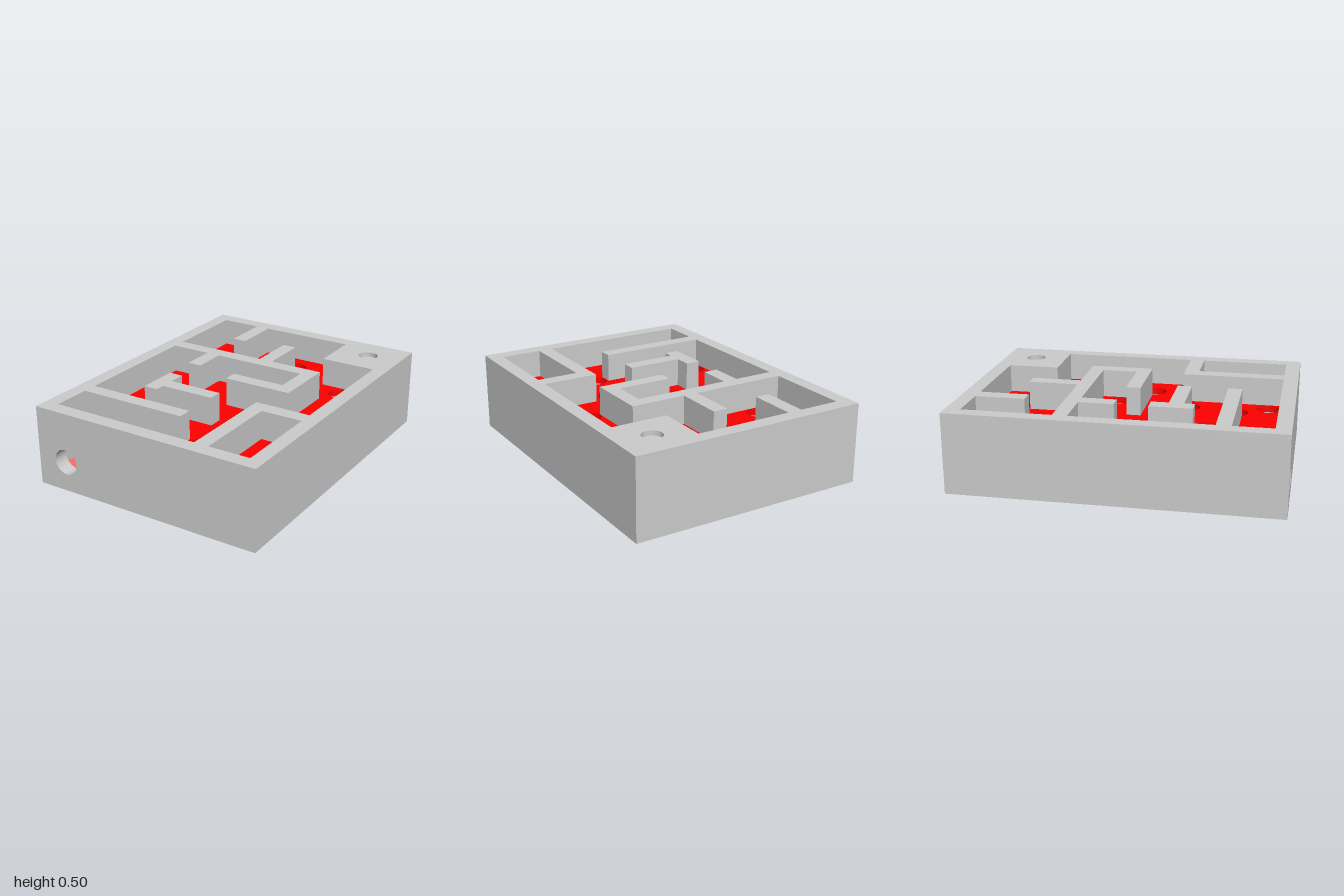
import * as THREE from 'three';
import { toCreasedNormals } from 'three/addons/utils/BufferGeometryUtils.js';

const grey = new THREE.MeshStandardMaterial({ color: 0xcccccc });
const red = new THREE.MeshStandardMaterial({ color: 0xff0000 });
const pink = new THREE.MeshStandardMaterial({ color: 0xff6b6b });

// Plan outlines are given as [x, z]; the shape's y axis is -z
const plan = (pts, Type = THREE.Shape) => new Type(pts.map(([x, z]) => new THREE.Vector2(x, -z)));
// Counter-clockwise in the shape's plane, so that holes in it face inwards
const rect = (x0, z0, x1, z1) => [[x0, z1], [x1, z1], [x1, z0], [x0, z0]];
const circle = (x, y, r) => new THREE.Path().absarc(x, y, r, 0, Math.PI * 2, true);

function extrude(shape, depth) {
  const geo = new THREE.ExtrudeGeometry(shape, { depth, bevelEnabled: false, curveSegments: 40 });
  return toCreasedNormals(geo, 0.5);
}

// Upright prism of a plan shape between two heights
function slab(name, shape, y0, y1, material) {
  const geo = extrude(shape, y1 - y0).rotateX(-Math.PI / 2).translate(0, y0, 0);
  const mesh = new THREE.Mesh(geo, material);
  mesh.name = name;
  return mesh;
}

const W = 0.75, L = 1, IW = 0.66, IL = 0.908;    // outer and inner half sizes
const FLOOR = 0.32, TOP = 0.5, RECESS = 0.03;

// Outline of the winding corridor
const corridor = [
  [-IW, -IL], [-0.4, -IL], [-0.4, -0.6], [-0.307, -0.6], [-0.307, -IL], [0.305, -IL],
  [0.305, -0.583], [IW, -0.583], [IW, 0.262], [0.305, 0.262], [0.305, IL], [-IW, IL],
  [-IW, 0.668], [0.045, 0.668], [0.045, 0.578], [-IW, 0.578], [-IW, -0.27], [-0.4, -0.27],
  [-0.4, -0.053], [-0.307, -0.053], [-0.307, -0.27], [0.305, -0.27], [0.305, -0.048], [-0.047, -0.048],
  [-0.047, 0.043], [0.397, 0.043], [0.397, -0.36], [0.045, -0.36], [0.045, -0.673], [-0.047, -0.673],
  [-0.047, -0.36], [-IW, -0.36],
];

// Free-standing T-shaped wall
const island = [
  [-0.4, 0.153], [-0.307, 0.153], [-0.307, 0.262], [0.045, 0.262],
  [0.045, 0.353], [-0.307, 0.353], [-0.307, 0.417], [-0.4, 0.417],
];

// Centres of the trap holes
const traps = [
  [-0.457, -0.438], [-0.227, -0.597], [0, -0.753], [0.125, -0.438], [0.477, -0.497],
  [0.577, -0.22], [0.225, -0.16], [0.477, 0.045], [-0.578, 0.068], [-0.177, 0.145],
  [0.18, 0.31], [-0.578, 0.497], [-0.18, 0.497], [0.125, 0.622], [0.225, 0.825],
];

function mazeShape() {
  const shape = plan(rect(-W, -L, W, L));
  shape.holes.push(plan(corridor, THREE.Path), plan(rect(0.397, 0.355, IW, IL), THREE.Path));
  return shape;
}

export function createModel() {
  const model = new THREE.Group();
  model.name = 'marbleMaze';

  // Maze walls, the top layer carrying the shallow round recess
  const rim = mazeShape();
  rim.holes.push(circle(0.526, 0.792, 0.063));
  model.add(
    slab('mazeWallsLower', mazeShape(), FLOOR, TOP - RECESS, grey),
    slab('mazeWallsUpper', rim, TOP - RECESS, TOP, grey),
    slab('islandWall', plan(island), FLOOR, TOP, grey),
  );

  // Lower casing: back and sides
  const casing = plan([
    [-W, IL], [-W, -L], [W, -L], [W, IL], [IW, IL], [IW, -IL], [-IW, -IL], [-IW, IL],
  ]);
  model.add(slab('casing', casing, 0, FLOOR, grey));

  // Front wall with the marble outlet
  const frontShape = new THREE.Shape([[-W, 0], [W, 0], [W, FLOOR], [-W, FLOOR]]
    .map(([x, y]) => new THREE.Vector2(x, y)));
  frontShape.holes.push(circle(-0.548, 0.188, 0.079));
  const front = new THREE.Mesh(extrude(frontShape, L - IL).translate(0, 0, IL), grey);
  front.name = 'frontWall';
  model.add(front);

  // Perforated maze floor
  const floor = plan(rect(-IW, -IL, IW, IL));
  floor.holes.push(...traps.map(([x, z]) => circle(x, -z, 0.078)));
  model.add(slab('mazeFloor', floor, 0.275, FLOOR, red));

  // Catch tray under the floor
  model.add(slab('catchTray', plan(rect(-IW, -IL, IW, IL)), 0.07, 0.11, pink));

  return model;
}
